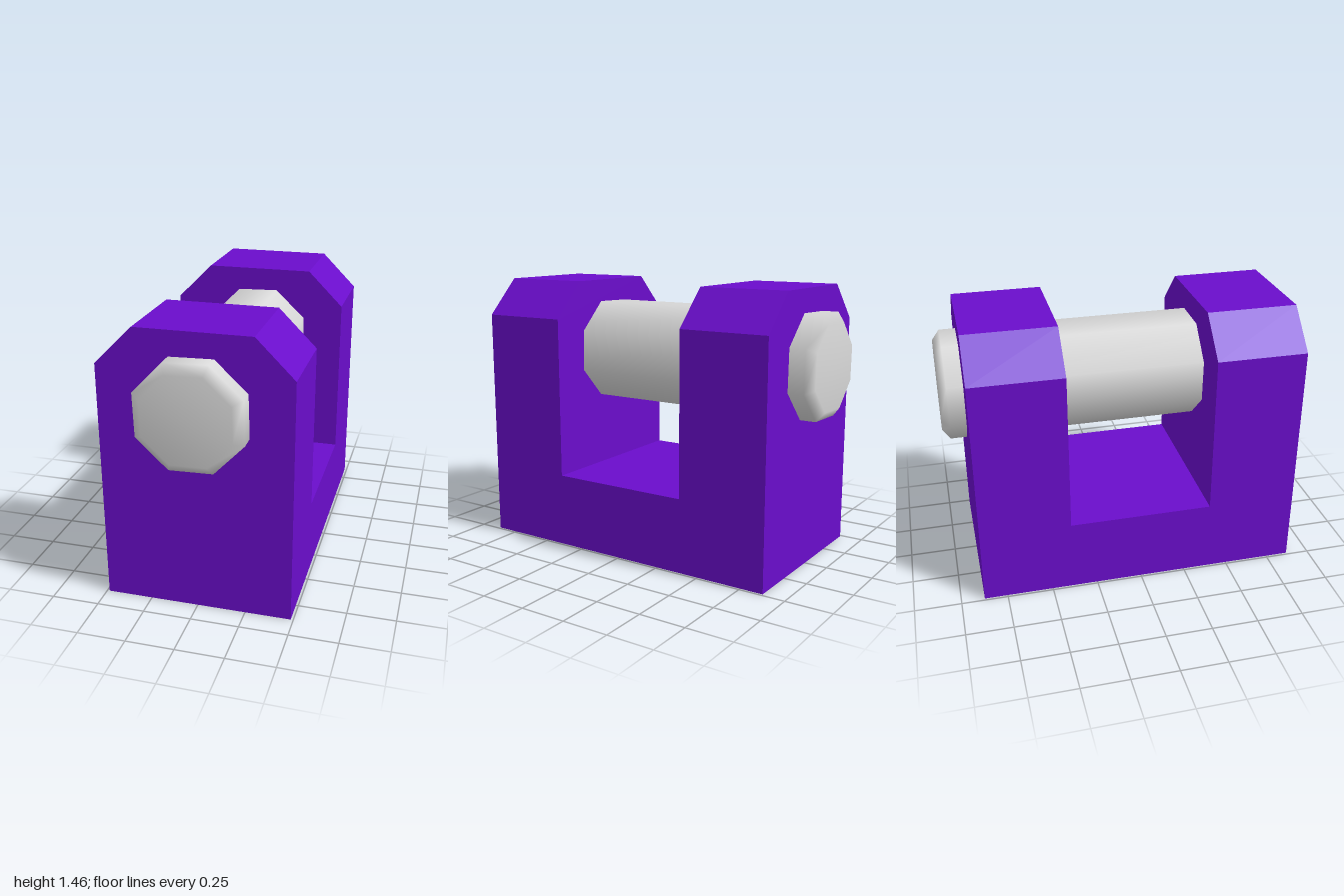
import * as THREE from 'three';

export function createModel() {
  const group = new THREE.Group();
  const purple = new THREE.MeshStandardMaterial({ color: 0x6a0dcb });
  purple.name = 'purple';
  const lightGrey = new THREE.MeshStandardMaterial({ color: 0xd9d9d9 });
  lightGrey.name = 'lightGrey';

  const add = (name, geometry, material) => {
    const mesh = new THREE.Mesh(geometry, material);
    mesh.name = name;
    group.add(mesh);
    return mesh;
  };

  // Upright arms with chamfered shoulders
  const outer = 0.875, inner = 0.388, halfWidth = 0.487;
  const outline = new THREE.Shape([
    [-halfWidth, 0], [halfWidth, 0], [halfWidth, 1.27],
    [0.293, 1.464], [-0.293, 1.464], [-halfWidth, 1.27],
  ].map(([x, y]) => new THREE.Vector2(x, y)));
  const armGeometry = new THREE.ExtrudeGeometry(outline, { depth: outer - inner, bevelEnabled: false });
  add('frontArm', armGeometry, purple).position.z = inner;
  add('backArm', armGeometry, purple).position.z = -outer;

  // Base joining the two arms
  add('base', new THREE.BoxGeometry(halfWidth * 2, 0.4, inner * 2), purple).position.y = 0.2;

  // Eight-sided, smooth-shaded pin with bevelled ends
  const profile = [[0, -1], [0.24, -1], [0.291, -0.96], [0.291, 0.96], [0.24, 1], [0, 1]]
    .map(([r, y]) => new THREE.Vector2(r, y));
  const pinGeometry = new THREE.LatheGeometry(profile, 8, THREE.MathUtils.degToRad(24.1));
  pinGeometry.rotateX(Math.PI / 2);
  add('pin', pinGeometry, lightGrey).position.y = 1.07;

  return group;
}
